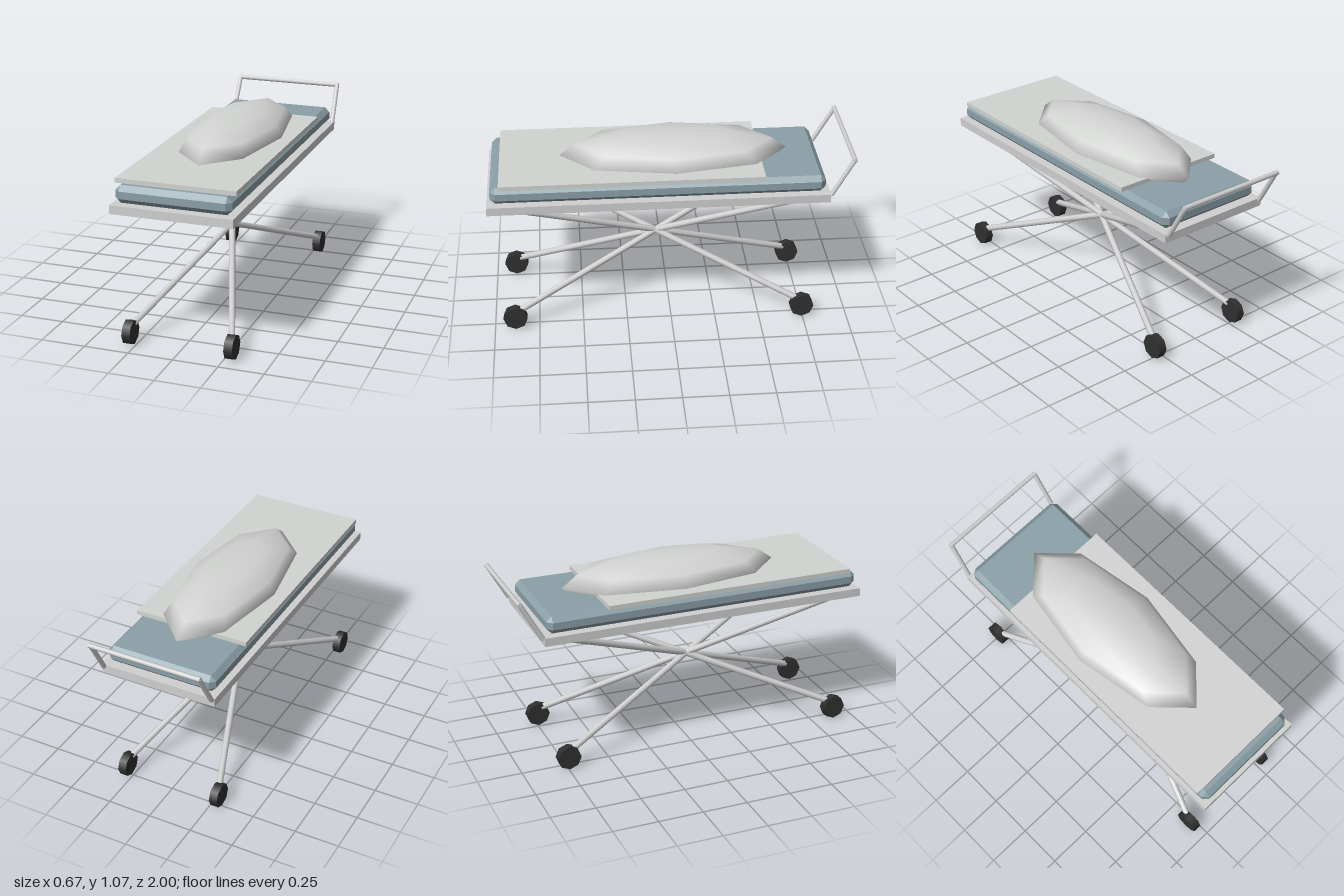
import * as THREE from 'three';
import { ConvexGeometry } from 'three/addons/geometries/ConvexGeometry.js';

const material = (name, color) => {
  const m = new THREE.MeshStandardMaterial({ color });
  m.name = name;
  return m;
};

export function createModel() {
  const group = new THREE.Group();
  const metal = material('brushed metal', 0xd0d0d0);
  const linen = material('linen', 0xd2d4d2);
  const padding = material('blue grey padding', 0x8ba0a8);
  const rubber = material('black rubber', 0x303030);

  const add = (name, geometry, mat, x = 0, y = 0, z = 0) => {
    const mesh = new THREE.Mesh(geometry, mat);
    mesh.name = name;
    mesh.position.set(x, y, z);
    group.add(mesh);
    return mesh;
  };

  // Round bar between two points
  const bar = (name, a, b, radius) => {
    const from = new THREE.Vector3(...a);
    const to = new THREE.Vector3(...b);
    const dir = to.clone().sub(from);
    const mesh = add(name, new THREE.CylinderGeometry(radius, radius, dir.length(), 8), metal);
    mesh.position.copy(from).add(to).multiplyScalar(0.5);
    mesh.quaternion.setFromUnitVectors(new THREE.Vector3(0, 1, 0), dir.normalize());
  };

  // Box with every edge and corner chamfered
  const chamferedBox = (w, h, d, c) => {
    const points = [];
    for (const sx of [-1, 1]) for (const sy of [-1, 1]) for (const sz of [-1, 1]) {
      for (let face = 0; face < 3; face++) {
        const p = [w / 2, h / 2, d / 2].map((v, i) => (i === face ? v : v - c));
        points.push(new THREE.Vector3(sx * p[0], sy * p[1], sz * p[2]));
      }
    }
    return new ConvexGeometry(points);
  };

  // Bed: deck, mattress, sheet and the covered form lying on it
  add('deck', new THREE.BoxGeometry(0.666, 0.047, 1.865), metal, 0, 0.787, 0.0675);
  add('mattress', chamferedBox(0.63, 0.096, 1.82, 0.028), padding, 0, 0.862, 0.07);
  add('sheet', new THREE.BoxGeometry(0.656, 0.025, 1.435), linen, 0, 0.923, 0.2125);
  add('coveredForm', new THREE.SphereGeometry(1, 8, 6), linen, 0, 0.938, -0.03)
    .scale.set(0.258, 0.128, 0.63);

  // Crossed legs, each running diagonally to the opposite wheel
  const middleZ = 0.07;
  for (const sx of [-1, 1]) for (const sz of [-1, 1]) {
    bar('leg', [-sx * 0.285, 0.775, middleZ - sz * 0.82],
      [sx * 0.285, 0.095, middleZ + sz * 0.81], 0.018);
    const wheel = add('wheel', new THREE.CylinderGeometry(0.0675, 0.0675, 0.047, 8), rubber,
      sx * 0.285, 0.0675, middleZ + sz * 0.813);
    wheel.rotation.z = Math.PI / 2;
  }

  // Push handle at the rear
  for (const sx of [-1, 1]) {
    bar('handlePost', [sx * 0.318, 0.803, -0.869], [sx * 0.312, 1.01, -0.986], 0.0135);
  }
  bar('handleGrip', [-0.322, 1.009, -0.987], [0.322, 1.009, -0.987], 0.0135);

  return group;
}
